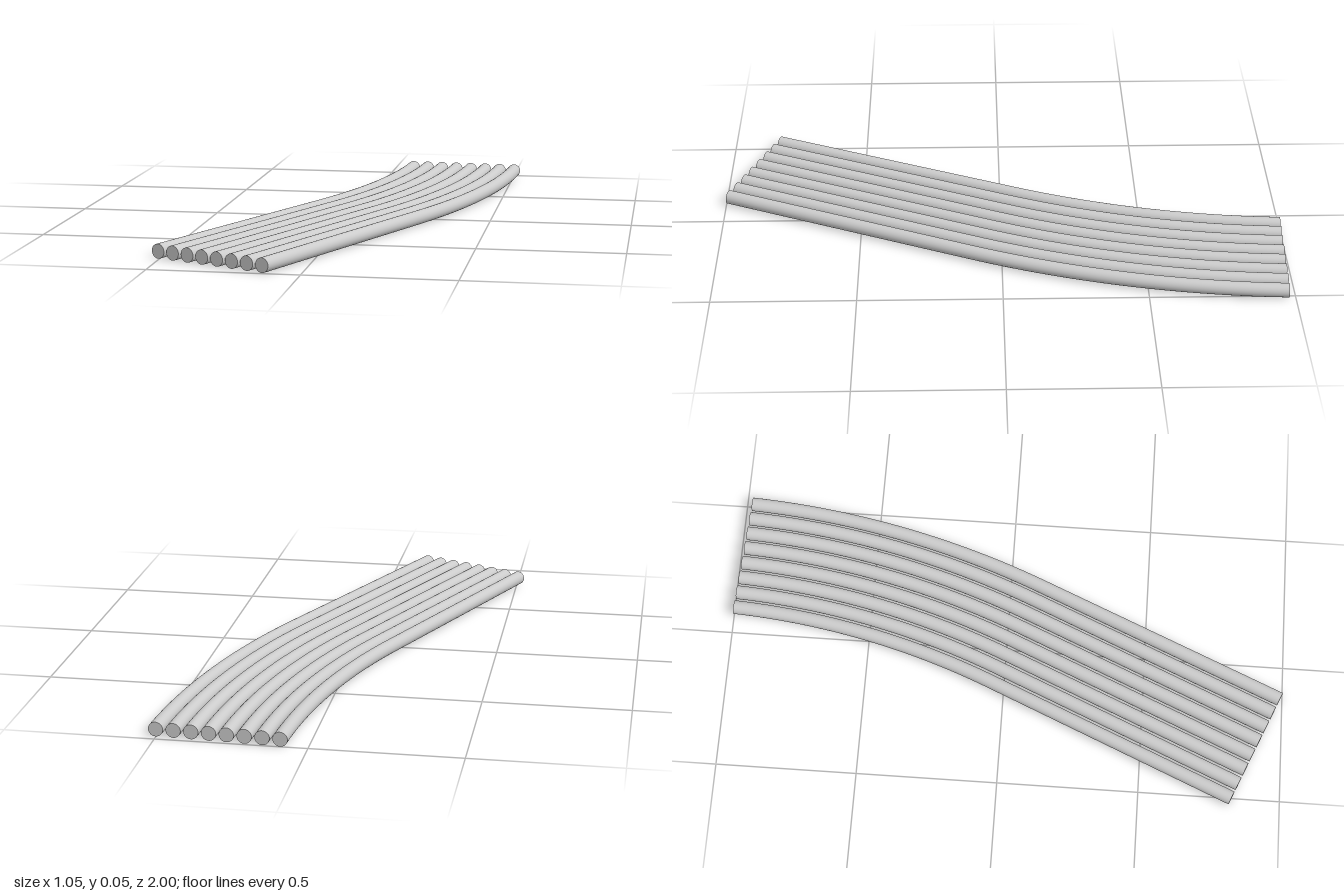
import * as THREE from 'three';

const COUNT = 8, PITCH = 0.0588, RADIUS = 0.0247;
const A = THREE.MathUtils.degToRad(23.1); // heading of the straight run
const B = THREE.MathUtils.degToRad(3);    // heading at the back end
const STRAIGHT = 0.957, BEND = 2.787;     // straight length, innermost bend radius

// Straight run followed by a tangent arc; offset moves it sideways, concentric with the bend
class PipePath extends THREE.Curve {
  constructor(offset) {
    super();
    this.bend = BEND + offset;
    this.start = new THREE.Vector3(-0.505 + offset * Math.cos(A), RADIUS, 0.829 + offset * Math.sin(A));
    this.total = STRAIGHT + this.bend * (A - B);
  }
  getPoint(t, target = new THREE.Vector3()) {
    const s = t * this.total, run = Math.min(s, STRAIGHT);
    const h = A - (s - run) / this.bend;
    return target.copy(this.start).add(new THREE.Vector3(
      run * Math.sin(A) + this.bend * (Math.cos(h) - Math.cos(A)),
      0,
      -run * Math.cos(A) - this.bend * (Math.sin(A) - Math.sin(h))
    ));
  }
}

export function createModel() {
  const model = new THREE.Group();
  model.name = 'bentPipeRow';
  const material = new THREE.MeshStandardMaterial({ color: 0xcccccc });
  const capGeometry = new THREE.CircleGeometry(RADIUS, 32);

  for (let i = 0; i < COUNT; i++) {
    const path = new PipePath(i * PITCH);
    const pipe = new THREE.Group();
    pipe.name = `pipe${i + 1}`;

    const body = new THREE.Mesh(new THREE.TubeGeometry(path, 48, RADIUS, 32), material);
    body.name = 'pipeBody';
    pipe.add(body);

    // Flat end discs, square to the pipe
    for (const [name, t, turn] of [['frontCap', 0, -A], ['backCap', 1, Math.PI - B]]) {
      const cap = new THREE.Mesh(capGeometry, material);
      cap.name = name;
      cap.position.copy(path.getPoint(t));
      cap.rotation.y = turn;
      pipe.add(cap);
    }
    model.add(pipe);
  }
  return model;
}
